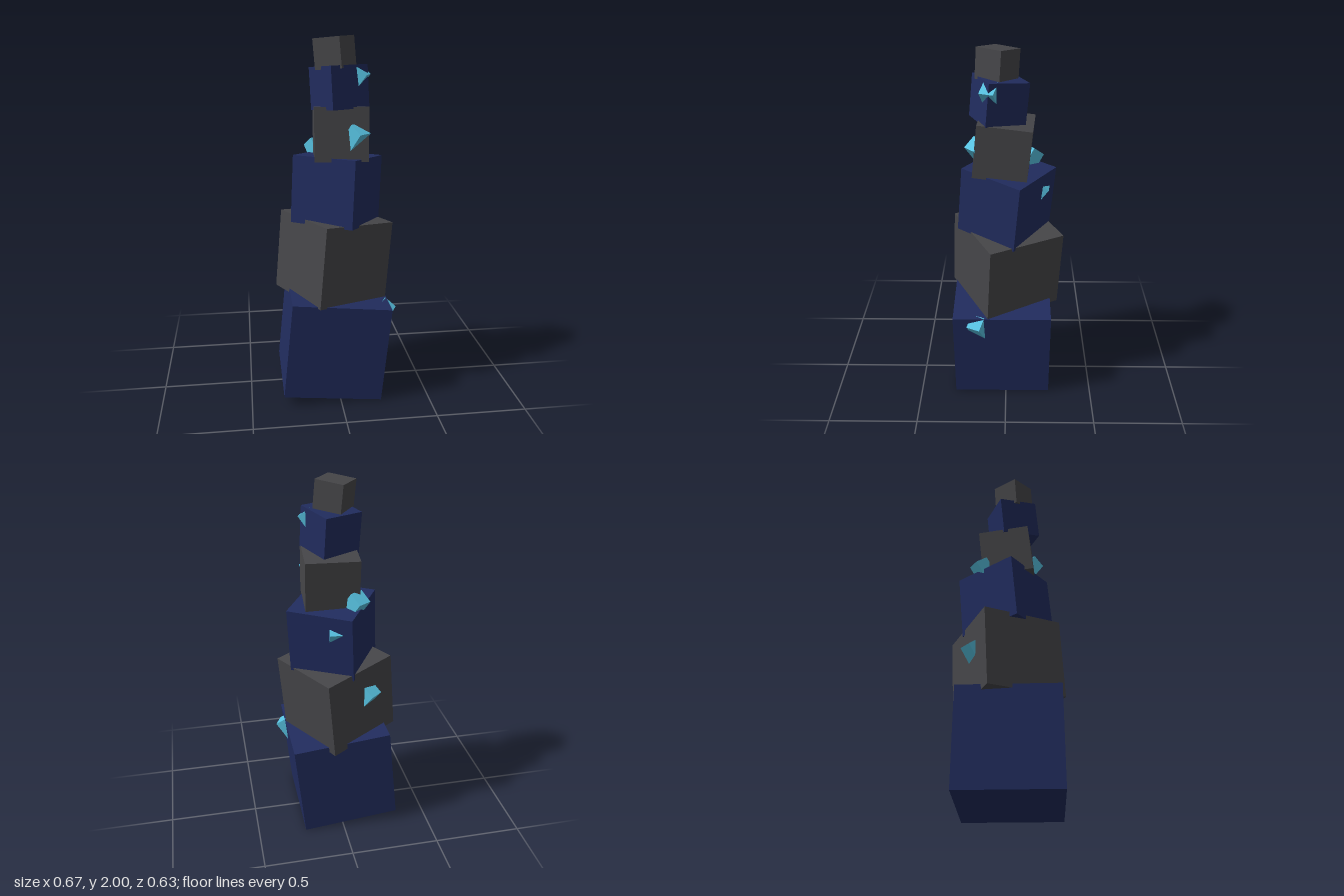
import * as THREE from 'three';

const LEAN = 0.1;      // each block leans toward its own local +x
const TWIST = 0.5;     // extra turn per block
const CRYSTAL_TILT = 0.64;
const CRYSTAL_LENGTH = 0.13;

export function createModel() {
  const mat = (name, color) => {
    const m = new THREE.MeshStandardMaterial({ color });
    m.name = name;
    return m;
  };
  const navy = mat('navy', 0x212c5e);
  const grey = mat('charcoal', 0x464649);
  const cyan = mat('cyan', 0x57c1e0);

  const model = new THREE.Group();
  model.name = 'twistedTower';

  // Stacked blocks: size, then centre
  const blocks = [
    [0.55, -0.02, 0.302, 0.022],
    [0.452, -0.01, 0.783, 0],
    [0.37, 0.012, 1.172, -0.002],
    [0.288, 0.027, 1.484, 0.011],
    [0.225, 0.017, 1.732, 0.038],
    [0.16, -0.007, 1.912, 0.045],
  ];
  blocks.forEach(([size, x, y, z], i) => {
    const block = new THREE.Mesh(new THREE.BoxGeometry(size, size, size), i % 2 ? grey : navy);
    block.name = `block${i + 1}`;
    block.position.set(x, y, z);
    block.rotation.set(0, TWIST * i, -LEAN);
    model.add(block);
  });

  // Square crystals growing up and out of the blocks: centre of outer cap, heading in degrees
  const crystals = [
    [0.285, 0.528, 0.17, 26],
    [-0.173, 0.875, -0.188, 230],
    [0.029, 1.268, -0.202, 276],
    [-0.105, 1.415, -0.157, 237],
    [0.116, 1.528, 0.167, 50],
    [0.136, 1.826, 0.087, 25],
  ];
  const crystalGeometry = new THREE.BoxGeometry(0.08, CRYSTAL_LENGTH, 0.08);
  crystalGeometry.translate(0, -CRYSTAL_LENGTH / 2, 0);
  crystals.forEach(([x, y, z, heading], i) => {
    const crystal = new THREE.Mesh(crystalGeometry, cyan);
    crystal.name = `crystal${i + 1}`;
    crystal.position.set(x, y, z);
    crystal.rotation.set(0, -THREE.MathUtils.degToRad(heading), -CRYSTAL_TILT);
    model.add(crystal);
  });

  return model;
}
